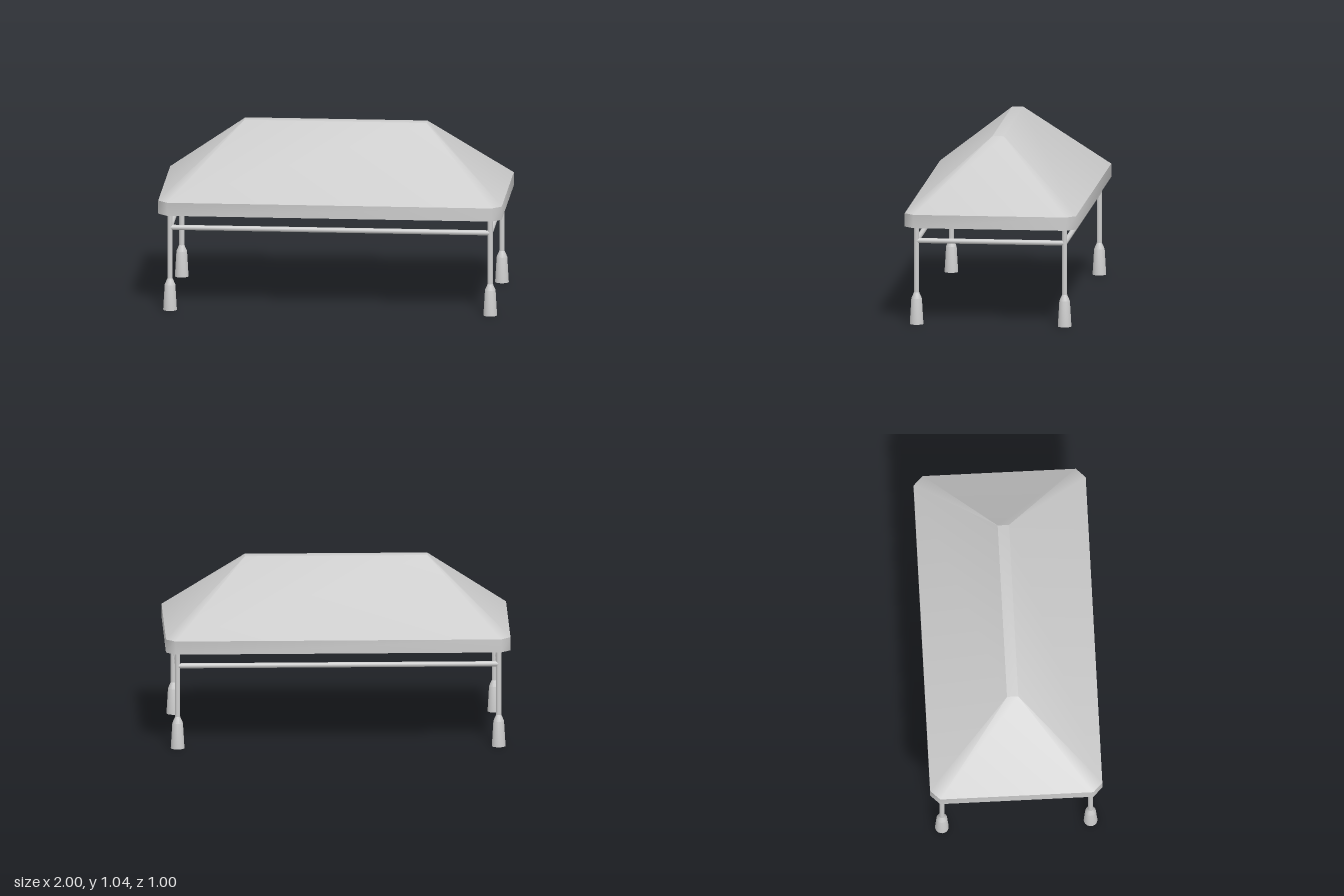
import * as THREE from 'three';
import { toCreasedNormals } from 'three/addons/utils/BufferGeometryUtils.js';

const material = new THREE.MeshStandardMaterial({ color: 0xcccccc });

function addMesh(parent, name, geometry) {
  const mesh = new THREE.Mesh(geometry, material);
  mesh.name = name;
  parent.add(mesh);
  return mesh;
}

// Rectangle with cut corners, counterclockwise seen from above
function ring(w, d, cut, y) {
  const a = w - cut, b = d - cut;
  return [[-a, d], [a, d], [w, b], [w, -b], [a, -d], [-a, -d], [-w, -b], [-w, b]]
    .map(([x, z]) => new THREE.Vector3(x, y, z));
}

// Wall between two rings, leaving out triangles that collapse to a point
function band(lower, upper) {
  const tris = [];
  lower.forEach((a, i) => {
    const j = (i + 1) % lower.length;
    const b = lower[j], c = upper[j], d = upper[i];
    tris.push(a, b, c);
    if (!c.equals(d)) tris.push(a, c, d);
  });
  return tris;
}

// Flat fan over a ring, facing up
function cap(points) {
  const tris = [];
  for (let i = 1; i < points.length - 1; i++) {
    if (points[i].equals(points[i + 1]) || points[0].equals(points[i + 1])) continue;
    tris.push(points[0], points[i], points[i + 1]);
  }
  return tris;
}

function surface(tris, crease) {
  const geometry = new THREE.BufferGeometry().setFromPoints(tris);
  geometry.computeVertexNormals();
  return toCreasedNormals(geometry, crease);
}

export function createModel() {
  const model = new THREE.Group();
  model.name = 'canopy';

  // Hipped roof with softened corners, upright rim and closed underside
  const roof = new THREE.Group();
  roof.name = 'roof';
  model.add(roof);
  const bottom = ring(1, 0.5, 0.055, 0.573);
  const eaves = ring(1, 0.5, 0.055, 0.651);
  const ridge = ring(0.53, 0.033, 0, 1.045);
  addMesh(roof, 'roofSlopes', surface([...band(eaves, ridge), ...cap(ridge)], 0.6));
  addMesh(roof, 'roofRim', surface(band(bottom, eaves), 0.85));
  addMesh(roof, 'roofUnderside', surface(cap(bottom).reverse(), 0.5));

  // Posts standing in tapered feet
  const px = 0.932, pz = 0.432, r = 0.015;
  const postGeometry = new THREE.CylinderGeometry(r, r, 0.41, 20, 1, true);
  const footProfile = [[0, 0], [0.04, 0], [0.031, 0.15], [r, 0.187], [0, 0.187]]
    .map(([x, y]) => new THREE.Vector2(x, y));
  const footGeometry = toCreasedNormals(new THREE.LatheGeometry(footProfile, 20), 0.4);
  for (const sx of [-1, 1]) {
    for (const sz of [-1, 1]) {
      const leg = new THREE.Group();
      leg.name = (sz > 0 ? 'front' : 'back') + (sx > 0 ? 'Left' : 'Right') + 'Leg';
      leg.position.set(sx * px, 0, sz * pz);
      addMesh(leg, 'post', postGeometry).position.y = 0.375;
      addMesh(leg, 'foot', footGeometry);
      model.add(leg);
    }
  }

  // Rails joining the posts on all four sides
  const longRail = new THREE.CylinderGeometry(r, r, 2 * px, 20).rotateZ(Math.PI / 2);
  const shortRail = new THREE.CylinderGeometry(r, r, 2 * pz, 20).rotateX(Math.PI / 2);
  for (const s of [-1, 1]) {
    addMesh(model, s > 0 ? 'frontRail' : 'backRail', longRail).position.set(0, 0.49, s * pz);
    addMesh(model, s > 0 ? 'leftRail' : 'rightRail', shortRail).position.set(s * px, 0.49, 0);
  }

  return model;
}
